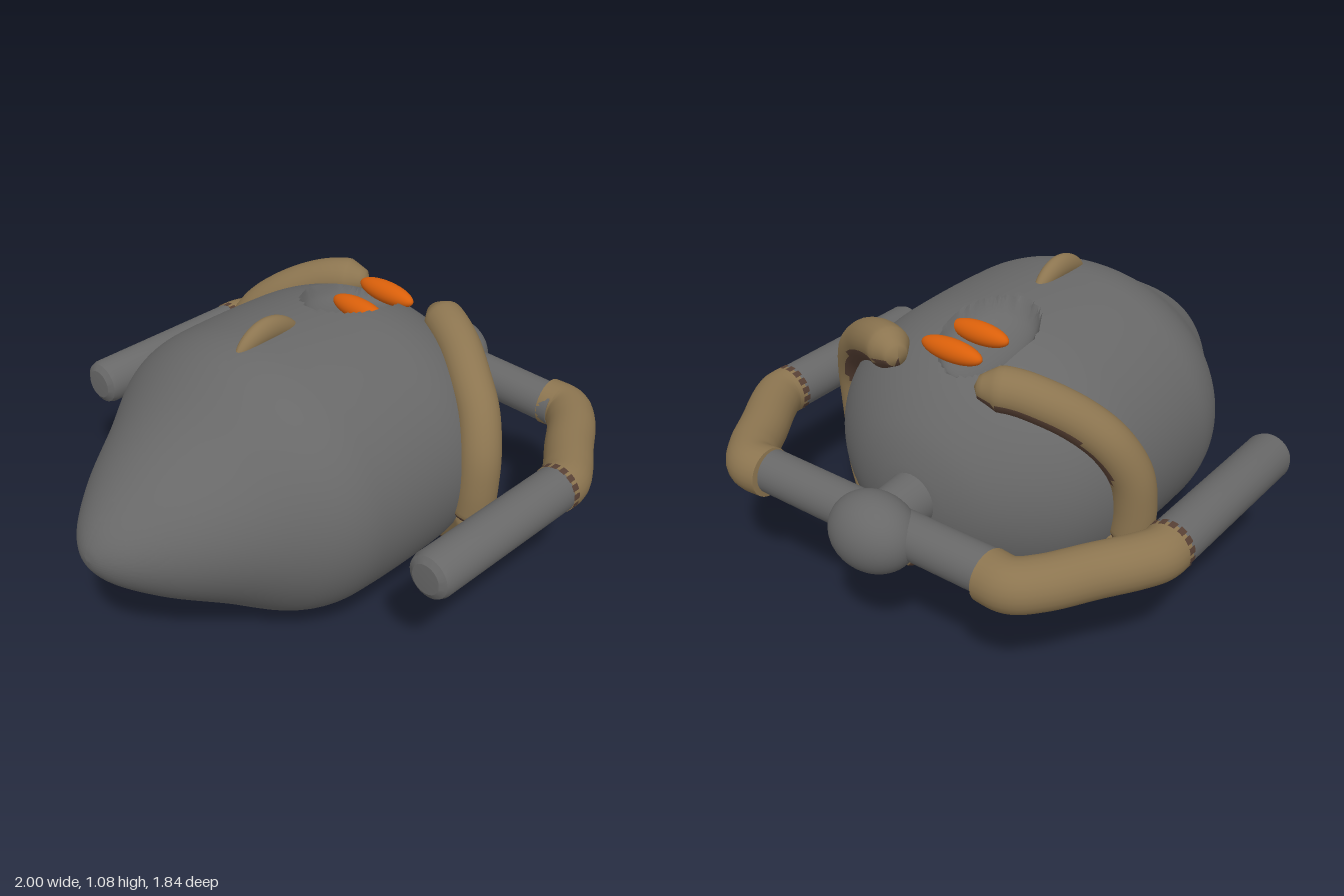
import * as THREE from 'three';
import { toCreasedNormals } from 'three/addons/utils/BufferGeometryUtils.js';

const V = (x, y, z) => new THREE.Vector3(x, y, z);

export function createModel() {
  const model = new THREE.Group();
  const mat = (name, color) => {
    const m = new THREE.MeshStandardMaterial({ color });
    m.name = name;
    return m;
  };
  const grey = mat('hull grey', 0x686868);
  const tan = mat('tan', 0x8c7550);
  const brown = mat('dark brown', 0x574034);
  const orange = mat('orange', 0xd95f0a);
  const add = (name, geo, material) => {
    const mesh = new THREE.Mesh(geo, material);
    mesh.name = name;
    model.add(mesh);
    return mesh;
  };
  const ellipsoid = (name, c, r, material) => {
    const mesh = add(name, new THREE.SphereGeometry(1, 40, 28), material);
    mesh.position.set(...c);
    mesh.scale.set(...r);
    return mesh;
  };

  // Hull: elliptical sections along x, denser around the top where the cockpit is hollowed
  const profile = new THREE.CatmullRomCurve3([
    [-1, 0], [-0.988, 0.09], [-0.94, 0.22], [-0.8, 0.44], [-0.6, 0.68], [-0.4, 0.925],
    [-0.3, 0.985], [-0.18, 1], [0.05, 1], [0.2, 0.985], [0.3, 0.945], [0.4, 0.865],
    [0.5, 0.72], [0.6, 0.48], [0.65, 0.24], [0.667, 0],
  ].map(([x, f]) => V(x, f, 0)), false, 'centripetal');
  const hull = new THREE.PlaneGeometry(1, 1, 150, 160);
  const pos = hull.attributes.position;
  for (let i = 0; i < pos.count; i++) {
    const p = profile.getPointAt(THREE.MathUtils.clamp(pos.getX(i) + 0.5, 0, 1));
    const u = pos.getY(i) * Math.PI * 2;
    const a = u - 0.6 * Math.sin(u);
    const f = Math.max(0, p.y);
    let y = 0.51 + 0.508 * f * Math.cos(a);
    const z = -0.6 * f * Math.sin(a);
    const q = ((p.x - 0.26) / 0.2) ** 2 + ((z + 0.04) / 0.15) ** 2;
    if (y > 0.51 && q < 1) y -= 0.1 * Math.sqrt(1 - q);
    pos.setXYZ(i, p.x, y, z);
  }
  add('hull', toCreasedNormals(hull, 0.6), grey);

  // Cockpit seats
  ellipsoid('frontSeat', [0.25, 0.952, 0.01], [0.04, 0.04, 0.12], orange);
  ellipsoid('rearSeat', [0.41, 0.957, 0.0], [0.04, 0.04, 0.125], orange);

  // Curved fin on top of the hull
  const fin = new THREE.SphereGeometry(1, 32, 20);
  fin.scale(0.145, 0.045, 0.034);
  const fp = fin.attributes.position;
  for (let i = 0; i < fp.count; i++) fp.setY(i, fp.getY(i) - 2.2 * fp.getX(i) ** 2);
  fin.computeVertexNormals();
  add('topFin', fin, tan).position.set(-0.19, 1.035, 0);

  // Closed tapered tube whose downward faces take the dark colour
  function limb(name, points, radius, darkBelow) {
    const seg = 56, sides = 24;
    const curve = new THREE.CatmullRomCurve3(points, false, 'centripetal');
    const tube = new THREE.TubeGeometry(curve, seg, 1, sides, false);
    const tp = tube.attributes.position;
    const v = V(0, 0, 0);
    for (let i = 0; i <= seg; i++) {
      const c = curve.getPointAt(i / seg);
      const r = i === 0 || i === seg ? 0.001 : radius(i / seg);
      for (let j = 0; j <= sides; j++) {
        const k = i * (sides + 1) + j;
        v.fromBufferAttribute(tp, k).sub(c).multiplyScalar(r).add(c);
        tp.setXYZ(k, v.x, v.y, v.z);
      }
    }
    const geo = toCreasedNormals(tube, 0.9);
    const gp = geo.attributes.position;
    const tri = new THREE.Triangle(), n = V(0, 0, 0);
    for (let i = 0; i < gp.count; i += 3) {
      tri.setFromAttributeAndIndices(gp, i, i + 1, i + 2).getNormal(n);
      const m = n.y < darkBelow ? 1 : 0;
      const last = geo.groups[geo.groups.length - 1];
      if (last && last.materialIndex === m) last.count += 3;
      else geo.addGroup(i, 3, m);
    }
    add(name, geo, [tan, brown]);
  }

  // Claws and side frame, mirrored front to back
  for (const [side, s] of [['front', 1], ['back', -1]]) {
    const path = (pts) => pts.map(([x, y, z]) => V(x, y, z * s));
    limb(side + 'UpperClaw', path([
      [0.225, 0.36, 0.6], [0.225, 0.5, 0.61], [0.24, 0.62, 0.6], [0.285, 0.74, 0.545],
      [0.335, 0.82, 0.46], [0.395, 0.88, 0.36], [0.44, 0.91, 0.27], [0.495, 0.915, 0.16],
    ]), (t) => Math.min(0.05 + t, 0.076, 0.03 + (1 - t) * 0.5), -0.35);
    limb(side + 'LowerClaw', path([
      [0.235, 0.39, 0.61], [0.25, 0.33, 0.59], [0.29, 0.24, 0.53], [0.34, 0.175, 0.44],
      [0.4, 0.135, 0.32], [0.45, 0.115, 0.22], [0.505, 0.105, 0.13],
    ]), (t) => Math.min(0.04 + t * 0.4, 0.07, 0.03 + (1 - t) * 0.4), -0.35);
    limb(side + 'FrameElbow', path([
      [0.36, 0.515, 0.833], [0.43, 0.515, 0.83], [0.5, 0.515, 0.795], [0.62, 0.515, 0.715],
      [0.76, 0.515, 0.625], [0.825, 0.515, 0.555], [0.825, 0.515, 0.46],
    ]), () => 0.088, -0.7);

    // Straight rod with a bevelled tip
    const rod = new THREE.LatheGeometry([
      [0.085, 0], [0.085, 0.65], [0.078, 0.67], [0.055, 0.685], [0, 0.688],
    ].map(([r, y]) => new THREE.Vector2(r, y)), 36);
    const rodMesh = add(side + 'Rod', toCreasedNormals(rod, 0.5), grey);
    rodMesh.rotation.z = Math.PI / 2;
    rodMesh.position.set(0.375, 0.515, 0.833 * s);

    // Toothed collar where the rod meets the elbow
    for (let k = 0; k < 16; k++) {
      const tooth = new THREE.CylinderGeometry(0.0892, 0.0892, 0.03, 3, 1, true, k * Math.PI / 8, Math.PI / 12);
      const mesh = add(side + 'CollarTooth', tooth, brown);
      mesh.rotation.z = Math.PI / 2;
      mesh.position.set(0.377, 0.515, 0.833 * s);
    }
  }

  // Rear crossbar, hub and neck
  const bar = add('crossbar', new THREE.CylinderGeometry(0.077, 0.077, 1.04, 32), grey);
  bar.rotation.x = Math.PI / 2;
  bar.position.set(0.815, 0.515, 0);
  ellipsoid('hub', [0.867, 0.515, -0.04], [0.128, 0.135, 0.16], grey);
  const neck = add('neck', new THREE.CylinderGeometry(0.1, 0.08, 0.24, 32), grey);
  neck.rotation.z = Math.PI / 2;
  neck.position.set(0.7, 0.515, -0.015);

  return model;
}
